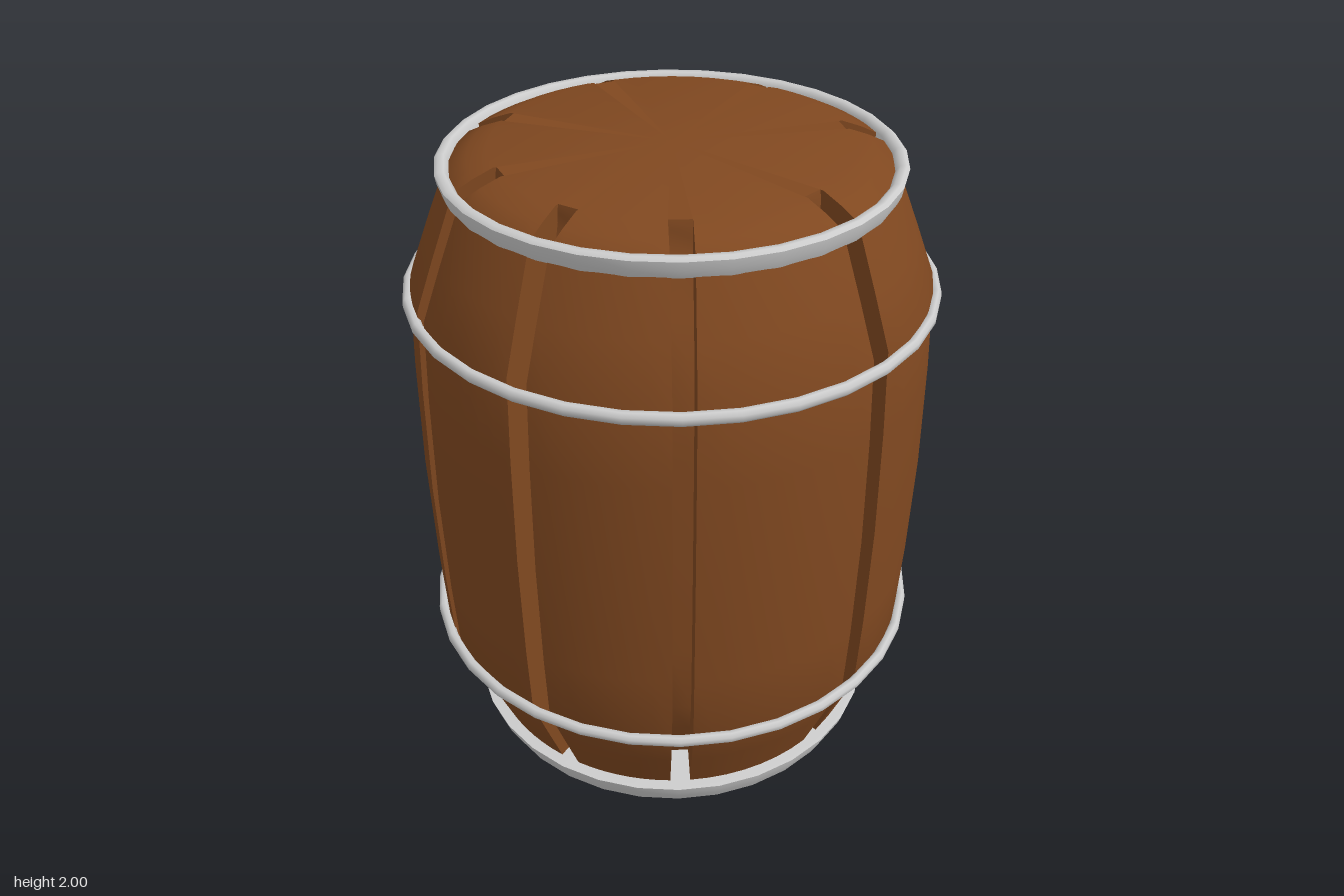
import * as THREE from 'three';
import { toCreasedNormals } from 'three/addons/utils/BufferGeometryUtils.js';

const wood = new THREE.MeshStandardMaterial({ color: 0x804820 });
const metal = new THREE.MeshStandardMaterial({ color: 0xcccccc });

// Barrel wall and lid: [outer radius, groove floor radius, height]
const ROWS = [
  [0.62, 0.49, 0.04], [0.64, 0.51, 0.09], [0.705, 0.575, 0.25], [0.768, 0.64, 0.41],
  [0.78, 0.652, 0.65], [0.788, 0.658, 1.0], [0.783, 0.654, 1.35], [0.772, 0.642, 1.61],
  [0.715, 0.585, 1.76], [0.655, 0.525, 1.91], [0.635, 0.515, 1.95],
  [0.58, 0.515, 1.977], [0.52, 0.51, 2.0],
];
// Directions of the gaps between the uneven staves, in degrees from +x towards +z
const GAPS = [-134.5, -79, -34, 23, 67, 101, 135, 180];
const HALF_GAP = 0.032;
const STAVE_SEGMENTS = 7;

// One closed horizontal section: for each stave its outer arc, then the next gap's floor
function section([r, floor, y]) {
  const points = [];
  const at = (radius, a) => points.push([radius * Math.cos(a), y, radius * Math.sin(a)]);
  const outer = Math.asin(HALF_GAP / r);
  const inner = Math.asin(HALF_GAP / floor);
  GAPS.forEach((gap, i) => {
    const a = THREE.MathUtils.degToRad(gap);
    const b = THREE.MathUtils.degToRad(i + 1 < GAPS.length ? GAPS[i + 1] : GAPS[0] + 360);
    for (let s = 0; s <= STAVE_SEGMENTS; s++) {
      at(r, THREE.MathUtils.lerp(a + outer, b - outer, s / STAVE_SEGMENTS));
    }
    at(floor, b - inner);
    at(floor, b + inner);
  });
  return points;
}

function stavesGeometry() {
  const loops = ROWS.map(section);
  const n = loops[0].length;
  const positions = [];
  const tri = (...corners) => corners.forEach((c) => positions.push(...c));
  for (let j = 0; j + 1 < loops.length; j++) {
    for (let i = 0; i < n; i++) {
      const k = (i + 1) % n;
      tri(loops[j][i], loops[j + 1][i], loops[j + 1][k]);
      tri(loops[j][i], loops[j + 1][k], loops[j][k]);
    }
  }
  // Lid fan
  const top = loops[loops.length - 1];
  for (let i = 0; i < n; i++) tri(top[i], [0, 2, 0], top[(i + 1) % n]);
  const geometry = new THREE.BufferGeometry();
  geometry.setAttribute('position', new THREE.Float32BufferAttribute(positions, 3));
  return toCreasedNormals(geometry, 0.7);
}

function lathe(profile, crease) {
  const points = profile.map(([r, y]) => new THREE.Vector2(r, y));
  return toCreasedNormals(new THREE.LatheGeometry(points, 32), crease);
}

export function createModel() {
  const barrel = new THREE.Group();
  barrel.name = 'barrel';
  const add = (name, geometry, material) => {
    const mesh = new THREE.Mesh(geometry, material);
    mesh.name = name;
    barrel.add(mesh);
  };

  add('stavesAndLid', stavesGeometry(), wood);

  // Thin hoops at the two shoulders, with a rounded section
  for (const [name, y] of [['lowerHoop', 0.415], ['upperHoop', 1.575]]) {
    const ring = [];
    for (let i = 0; i <= 8; i++) {
      const a = ((i - 0.5) / 8) * Math.PI * 2;
      ring.push([0.783 + 0.017 * Math.cos(a), y + 0.02 * Math.sin(a)]);
    }
    add(name, lathe(ring, 1), metal);
  }

  // Rim hoop, flaring slightly upwards
  add('rimHoop', lathe([
    [0.63, 1.912], [0.656, 1.91], [0.667, 1.935], [0.672, 1.962],
    [0.662, 1.971], [0.645, 1.97], [0.632, 1.955], [0.63, 1.912],
  ], 1), metal);

  // Solid base dish
  add('base', lathe([
    [0, 0], [0.642, 0], [0.657, 0.03], [0.668, 0.055], [0.675, 0.078], [0.66, 0.08], [0, 0.08],
  ], 0.7), metal);

  return barrel;
}
